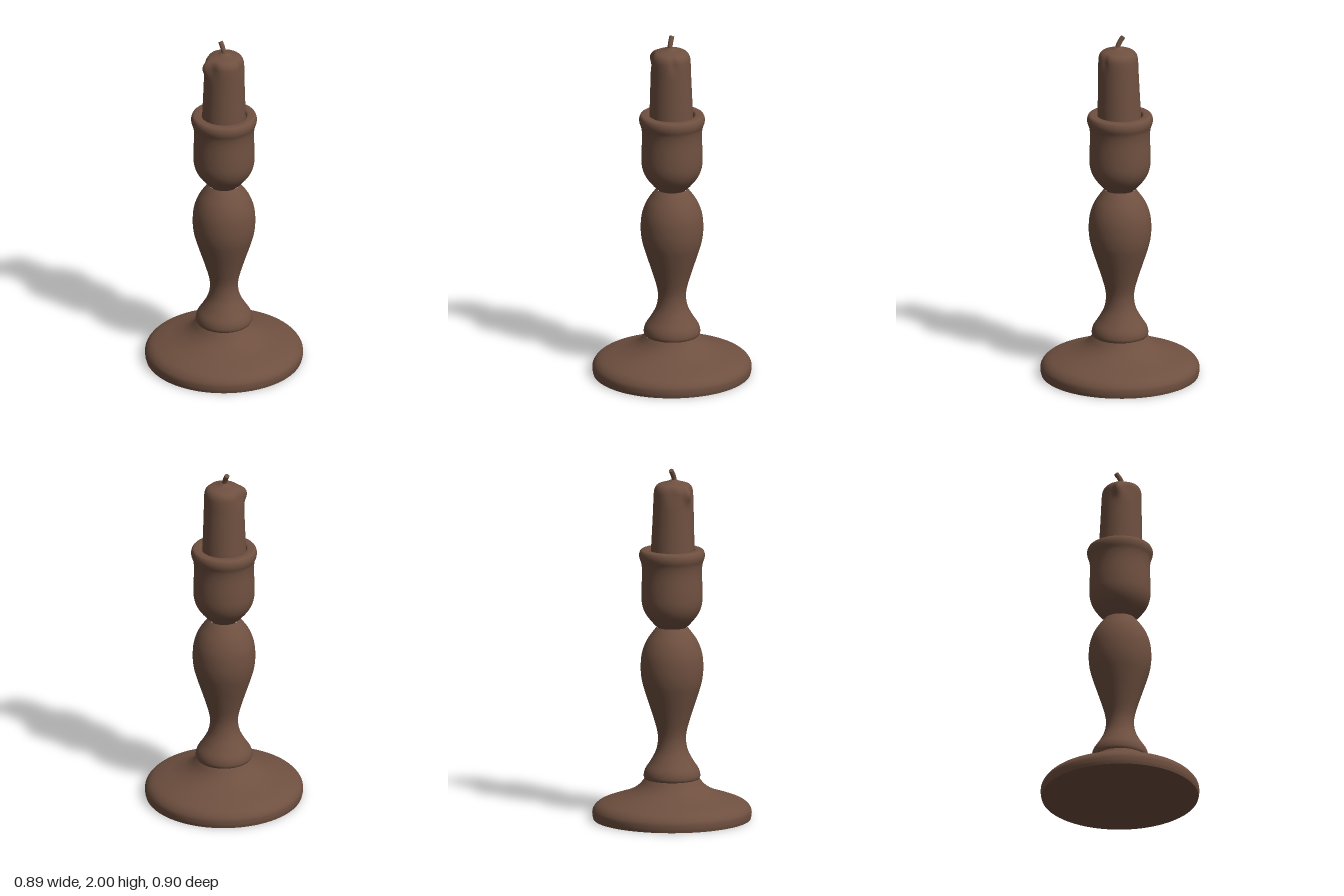
import * as THREE from 'three';
import { mergeVertices } from 'three/addons/utils/BufferGeometryUtils.js';

const brown = new THREE.MeshStandardMaterial({ color: 0x6f5040 });
brown.name = 'brown wood';

// Smooth profile through a few [radius, height] points
function smoothProfile(points, samples) {
  const curve = new THREE.SplineCurve(points.map(([r, y]) => new THREE.Vector2(r, y)));
  return curve.getPoints(samples).map((p) => new THREE.Vector2(Math.max(p.x, 0), p.y));
}

function addMesh(group, name, geometry) {
  const mesh = new THREE.Mesh(geometry, brown);
  mesh.name = name;
  group.add(mesh);
  return mesh;
}

function turned(group, name, points) {
  return addMesh(group, name, new THREE.LatheGeometry(smoothProfile(points, points.length * 5), 72));
}

// Candle: turned body, then leaned and dented with a wax drip
function candleGeometry() {
  const profile = smoothProfile([
    [0.123, 1.5], [0.122, 1.55], [0.118, 1.65], [0.114, 1.77], [0.112, 1.85], [0.107, 1.885],
    [0.092, 1.907], [0.065, 1.918], [0.038, 1.925], [0.018, 1.935], [0, 1.938],
  ], 60);
  let geometry = new THREE.LatheGeometry(profile, 72);
  const pos = geometry.attributes.position;
  const bump = (angle, centre, width) => {
    const d = Math.atan2(Math.sin(angle - centre), Math.cos(angle - centre));
    return Math.exp(-((d / width) ** 2));
  };
  for (let i = 0; i < pos.count; i++) {
    const x = pos.getX(i), y = pos.getY(i), z = pos.getZ(i);
    const r = Math.hypot(x, z), a = Math.atan2(z, x);
    const edge = Math.min(1, r / 0.1) ** 3;
    const high = Math.exp(-(((y - 1.87) / 0.05) ** 2)) * edge;
    const push = high * (0.024 * bump(a, 2.55, 0.2) - 0.009 * bump(a, 2.05, 0.3)
      - 0.008 * bump(a, 3.4, 0.35) - 0.009 * bump(a, 0.3, 0.2));
    const t = (y - 1.5) / 0.44;
    pos.setXYZ(i, x + Math.cos(a) * push + 0.004 * t, y - 0.008 * high * bump(a, 2.6, 0.4),
      z + Math.sin(a) * push + 0.004 + 0.007 * t);
  }
  geometry.deleteAttribute('uv');
  geometry.deleteAttribute('normal');
  geometry = mergeVertices(geometry, 1e-5);
  geometry.computeVertexNormals();
  return geometry;
}

export function createModel() {
  const group = new THREE.Group();
  group.name = 'candlestick';

  // Broad foot with a flat underside
  turned(group, 'foot', [
    [0.438, 0], [0.443, 0.025], [0.439, 0.058], [0.41, 0.09], [0.35, 0.115], [0.28, 0.138],
    [0.22, 0.165], [0.18, 0.195], [0.152, 0.23],
  ]).scale.z = 1.01;
  const underside = addMesh(group, 'underside', new THREE.CircleGeometry(0.438, 72));
  underside.rotation.x = Math.PI / 2;
  underside.scale.y = 1.01;

  // Collar and swelling stem
  turned(group, 'stem', [
    [0.14, 0.225], [0.153, 0.23], [0.159, 0.25], [0.15, 0.285], [0.118, 0.335], [0.09, 0.39],
    [0.079, 0.45], [0.085, 0.51], [0.111, 0.6], [0.15, 0.72], [0.169, 0.79], [0.176, 0.86],
    [0.17, 0.94], [0.146, 1.01], [0.11, 1.065], [0.085, 1.095],
  ]);

  // Cup with a rounded lip
  turned(group, 'cup', [
    [0.078, 1.09], [0.11, 1.122], [0.15, 1.175], [0.169, 1.23], [0.172, 1.3], [0.168, 1.4],
    [0.172, 1.455], [0.183, 1.49], [0.184, 1.515], [0.174, 1.535],
    [0.15, 1.539], [0.129, 1.535], [0.124, 1.515], [0.124, 1.5],
  ]);
  const socket = addMesh(group, 'socketFloor', new THREE.CircleGeometry(0.126, 48));
  socket.rotation.x = -Math.PI / 2;
  socket.position.y = 1.502;

  addMesh(group, 'candle', candleGeometry());

  // Bent wick with a blunt tip
  const path = new THREE.CatmullRomCurve3([
    new THREE.Vector3(0.004, 1.92, 0.014), new THREE.Vector3(-0.002, 1.95, 0.01),
    new THREE.Vector3(-0.012, 1.975, 0), new THREE.Vector3(-0.021, 1.993, -0.009),
  ]);
  addMesh(group, 'wick', new THREE.TubeGeometry(path, 12, 0.014, 12));
  const tip = addMesh(group, 'wickTip', new THREE.CircleGeometry(0.014, 12));
  tip.position.copy(path.getPoint(1));
  tip.quaternion.setFromUnitVectors(new THREE.Vector3(0, 0, 1), path.getTangent(1));

  return group;
}
